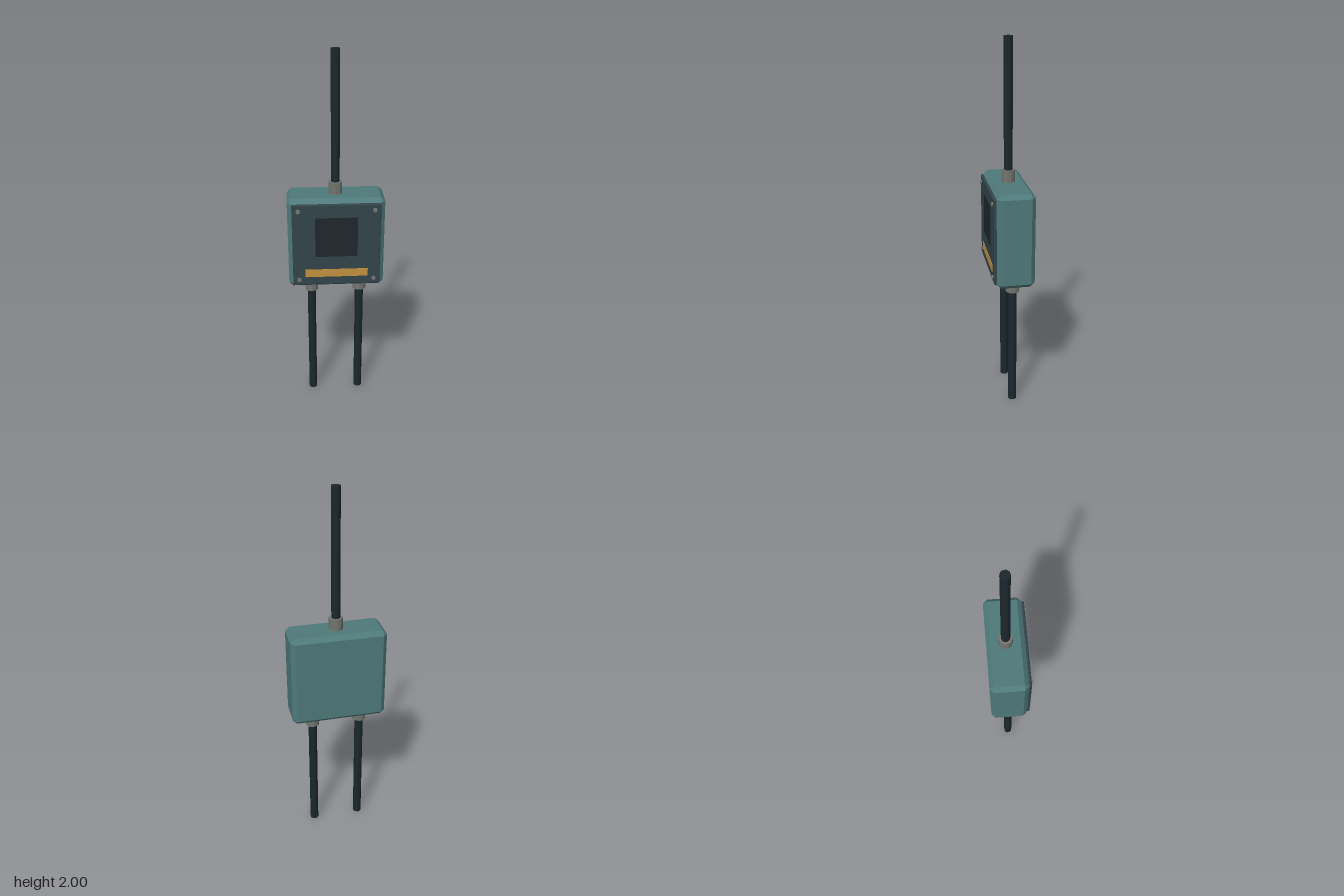
import * as THREE from 'three';
import { ConvexGeometry } from 'three/addons/geometries/ConvexGeometry.js';

const mat = (color) => new THREE.MeshStandardMaterial({ color, flatShading: true });
const teal = mat(0x4f7a7b), slate = mat(0x33454b), dark = mat(0x1e282d);
const amber = mat(0xc2923f), metal = mat(0x72756f), rubber = mat(0x1c272c);

// Box with every edge chamfered by c: three points at each corner
function chamferBox(w, h, d, c) {
  const points = [];
  for (const x of [-1, 1]) for (const y of [-1, 1]) for (const z of [-1, 1]) {
    for (let full = 0; full < 3; full++) {
      const inset = [c, c, c];
      inset[full] = 0;
      points.push(new THREE.Vector3(
        x * (w / 2 - inset[0]), y * (h / 2 - inset[1]), z * (d / 2 - inset[2])));
    }
  }
  return new ConvexGeometry(points);
}

export function createModel() {
  const model = new THREE.Group();
  const add = (name, geometry, material, x, y, z) => {
    const mesh = new THREE.Mesh(geometry, material);
    mesh.name = name;
    mesh.position.set(x, y, z);
    model.add(mesh);
    return mesh;
  };

  // Enclosure and front lid
  add('housing', chamferBox(0.512, 0.512, 0.2, 0.023), teal, 0, 1, -0.012);
  add('lid', chamferBox(0.466, 0.466, 0.018, 0.004), slate, 0, 1, 0.093);

  // Thin panels on the lid
  add('screen', new THREE.BoxGeometry(0.224, 0.224, 0.004), dark, 0, 1.047, 0.1015);
  add('labelStrip', new THREE.BoxGeometry(0.336, 0.045, 0.004), amber, 0, 0.837, 0.1025);

  // Corner screws
  const screw = new THREE.CylinderGeometry(0.012, 0.012, 0.012, 8);
  for (const x of [-0.2, 0.2]) for (const y of [0.8, 1.2]) {
    add('screw', screw, metal, x, y, 0.104).rotation.x = Math.PI / 2;
  }

  // One cable above and two below, each with its gland
  const gland = new THREE.CylinderGeometry(0.037, 0.037, 0.075, 10);
  const cable = new THREE.CylinderGeometry(0.0235, 0.0235, 0.7, 10);
  for (const [x, side] of [[0, 1], [-0.133, -1], [0.133, -1]]) {
    add('gland', gland, metal, x, 1 + side * 0.283, -0.012);
    add('cable', cable, rubber, x, 1 + side * 0.65, -0.012);
  }
  return model;
}
